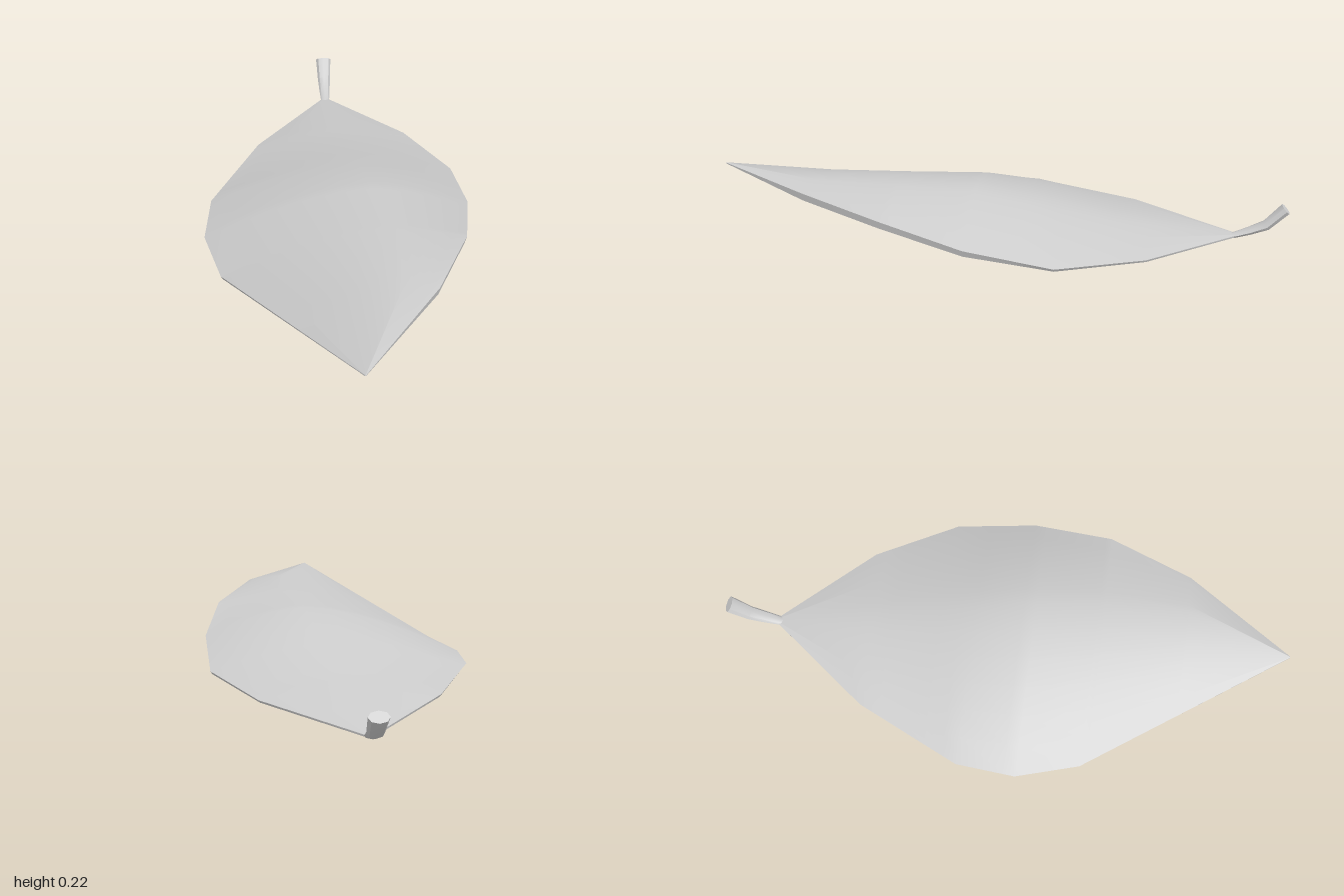
import * as THREE from 'three';
import { toCreasedNormals } from 'three/addons/utils/BufferGeometryUtils.js';

const material = new THREE.MeshStandardMaterial({ color: 0xcccccc, side: THREE.DoubleSide });

// Joins closed rings of points, ordered back to front, each running left, top, right, bottom
function loft(name, rings) {
  const n = rings[0].length, index = [];
  for (let r = 0; r < rings.length - 1; r++) {
    for (let i = 0; i < n; i++) {
      const j = (i + 1) % n, a = r * n + i, b = r * n + j;
      index.push(a, a + n, b, b, a + n, b + n);
    }
  }
  for (let i = 1; i < n - 1; i++) index.push(0, i, i + 1); // back cap
  const g = new THREE.BufferGeometry();
  g.setAttribute('position', new THREE.Float32BufferAttribute(rings.flat(2), 3));
  g.setIndex(index);
  const mesh = new THREE.Mesh(toCreasedNormals(g, 0.7), material);
  mesh.name = name;
  return mesh;
}

// Straight interpolation along [z, ...values] points
function at(line, z) {
  let k = 0;
  while (k < line.length - 2 && z > line[k + 1][0]) k++;
  const [p, q] = [line[k], line[k + 1]];
  const t = (z - p[0]) / (q[0] - p[0]);
  return p.slice(1).map((v, i) => v + (q[i + 1] - v) * t);
}

// Outline and crest of the twisted blade, as [z, x, y, rim thickness]
const leftEdge = [[-0.82, -0.016, 0.014, 0.006], [-0.47, -0.28, 0.02, 0.008], [-0.1, -0.45, 0.02, 0.008],
  [0.11, -0.465, 0.014, 0.006], [0.33, -0.4, 0.018, 0.012], [0.998, 0.028, 0.21, 0.003]];
const rightEdge = [[-0.82, 0.016, 0.014, 0.006], [-0.51, 0.3, 0.032, 0.008], [-0.22, 0.447, 0.05, 0.01],
  [0.07, 0.463, 0.105, 0.022], [0.35, 0.413, 0.17, 0.026], [0.64, 0.283, 0.204, 0.026], [0.998, 0.032, 0.21, 0.003]];
const crest = [[-0.82, 0, 0.016], [-0.4, 0.05, 0.088], [-0.15, 0.08, 0.15], [0.07, 0.11, 0.2],
  [0.35, 0.14, 0.213], [0.64, 0.15, 0.216], [0.998, 0.03, 0.211]];

// Domed top over a nearly flat underside
function bladeRing(z) {
  const l = at(leftEdge, z), r = at(rightEdge, z), c = at(crest, z);
  const half = 6, top = [], bottom = [];
  for (let i = 0; i <= 2 * half; i++) {
    const e = i <= half ? l : r;
    const t = i <= half ? i / half : 2 - i / half;
    const x = e[0] + (c[0] - e[0]) * t;
    const y = e[1] + (c[1] - e[1]) * (1 - (1 - t) ** 1.6);
    const s = (x - l[0]) / (r[0] - l[0]);
    const chord = (l[1] - l[2]) * (1 - s) + (r[1] - r[2]) * s;
    const hollow = 0.025 * Math.sin(Math.PI * s) * (1 - z * z);
    top.push([x, y, z]);
    bottom.unshift([x * 0.985, Math.min(chord + hollow, y - 0.003), z]);
  }
  return [...top, ...bottom];
}

// Stem ring: centre y and z, half width, half height split over y and z
function stemRing([y, z, w, hy, hz]) {
  return Array.from({ length: 8 }, (_, i) => {
    const a = Math.PI - (i / 8) * Math.PI * 2;
    return [w * Math.cos(a), y + hy * Math.sin(a), z + hz * Math.sin(a)];
  });
}

export function createModel() {
  const group = new THREE.Group();
  group.name = 'leaf';

  // Blade rows follow every outline corner
  const rows = [...new Set([...leftEdge, ...rightEdge, ...crest].map((p) => p[0]))].sort((a, b) => a - b);
  group.add(loft('blade', rows.map(bladeRing)));

  // Stem curling up behind the blade
  group.add(loft('stem', [
    [0.117, -0.985, 0.031, 0.014, 0.014],
    [0.054, -0.925, 0.026, 0.014, 0.01],
    [0.03, -0.87, 0.022, 0.012, 0.005],
    [0.01, -0.815, 0.017, 0.009, 0.001],
    [0.013, -0.79, 0.01, 0.003, 0],
  ].map(stemRing)));
  return group;
}
